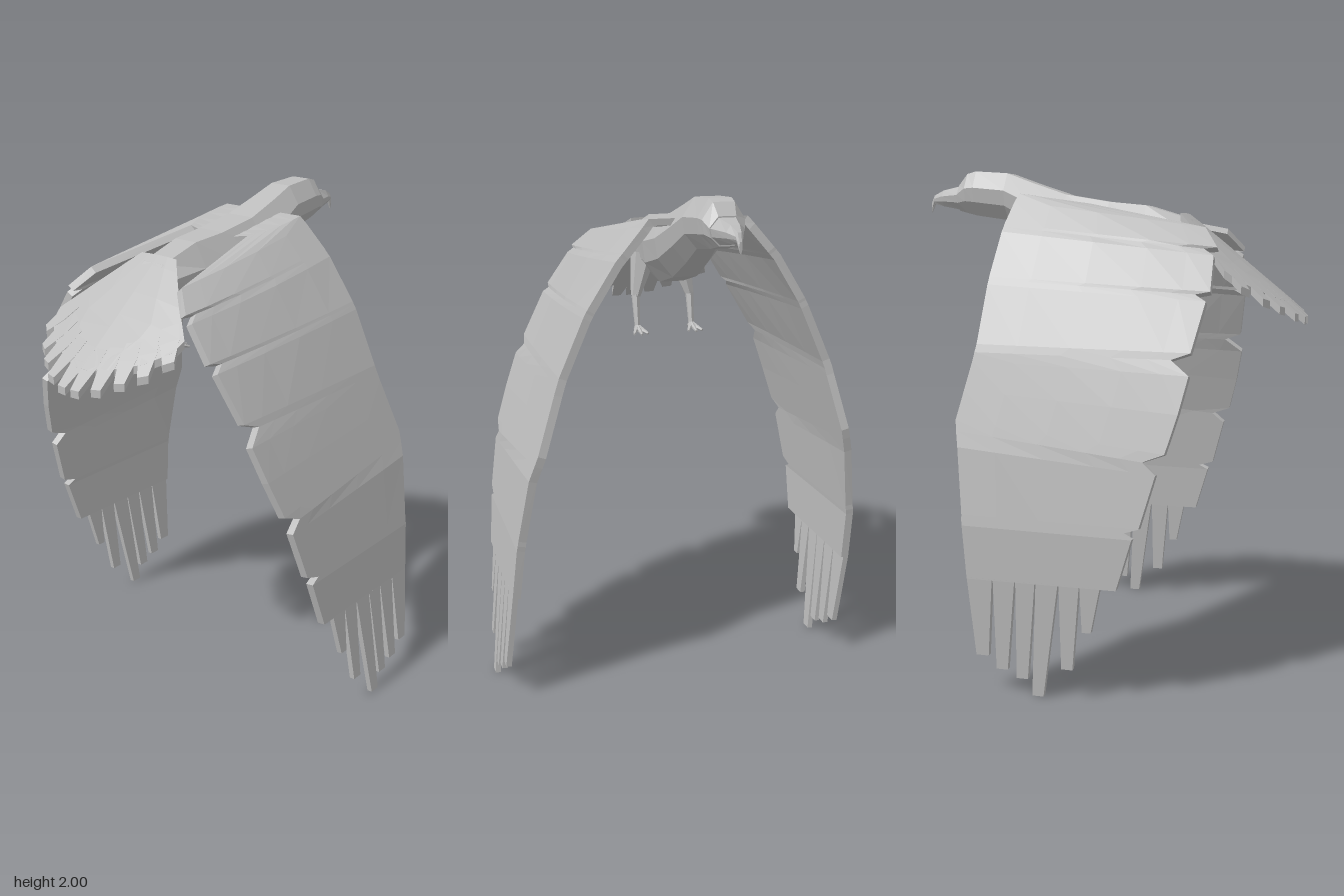
import * as THREE from 'three';

const CX = -0.07; // body axis
const plumage = new THREE.MeshStandardMaterial({ color: 0xbcbcbc, flatShading: true });
plumage.name = 'grey plumage';

// Closed solid through equal-length rings of points, capped at both ends
function loft(name, rings) {
  const n = rings[0].length;
  const tris = [];
  const quad = (a, b, c, d) => tris.push([a, b, c], [a, c, d]);
  for (let r = 0; r + 1 < rings.length; r++) {
    for (let i = 0; i < n; i++) {
      const j = (i + 1) % n;
      quad(rings[r][i], rings[r][j], rings[r + 1][j], rings[r + 1][i]);
    }
  }
  const cap = (ring, flip) => {
    for (let i = 0; i < n / 2 - 1; i++) {
      const q = [ring[i], ring[n - 1 - i], ring[n - 2 - i], ring[i + 1]];
      quad(...(flip ? q.reverse() : q));
    }
  };
  cap(rings[0], false);
  cap(rings[rings.length - 1], true);
  // Turn all faces outward, whichever way the rings run
  let volume = 0;
  for (const [a, b, c] of tris) volume += a.dot(b.clone().cross(c));
  const points = tris.flatMap(([a, b, c]) => (volume < 0 ? [a, c, b] : [a, b, c]));
  const geometry = new THREE.BufferGeometry().setFromPoints(points);
  geometry.computeVertexNormals();
  const mesh = new THREE.Mesh(geometry, plumage);
  mesh.name = name;
  return mesh;
}

const V = (x, y, z) => new THREE.Vector3(x, y, z);
const { lerp, clamp } = THREE.MathUtils;

// Wing arc seen from the front: height, x of the -x wing, x of the +x wing
const ARC = [
  [1.95, -0.17, 0.03], [1.9, -0.27, 0.12], [1.7, -0.44, 0.3], [1.46, -0.56, 0.435], [1.31, -0.62, 0.49],
  [0.94, -0.71, 0.62], [0.65, -0.745, 0.67], [0.45, -0.74, 0.69], [0, -0.7, 0.74],
];
function arcX(y, col) {
  let i = 0;
  while (i < ARC.length - 2 && y < ARC[i + 1][0]) i++;
  const a = ARC[i], b = ARC[i + 1];
  return lerp(a[col], b[col], (y - a[0]) / (b[0] - a[0]));
}

// Wing rows: leading edge z, y, trailing edge z, y, optional shift towards the body
const WING = [
  [-0.33, 1.9, -0.03, 1.83, 0.2], [-0.33, 1.9, -0.05, 1.86], [-0.34, 1.87, 0.43, 1.765],
  [-0.355, 1.78, 0.49, 1.69], [-0.355, 1.77, 0.44, 1.685], [-0.357, 1.75, 0.48, 1.66],
  [-0.37, 1.58, 0.485, 1.53], [-0.37, 1.57, 0.43, 1.52], [-0.372, 1.55, 0.473, 1.495],
  [-0.38, 1.33, 0.44, 1.315], [-0.385, 1.3, 0.37, 1.29], [-0.39, 1.27, 0.44, 1.235],
  [-0.415, 1.16, 0.41, 1.1], [-0.44, 1.05, 0.37, 0.96], [-0.435, 1.01, 0.29, 0.93],
  [-0.425, 0.95, 0.34, 0.885], [-0.4, 0.7, 0.285, 0.69], [-0.4, 0.68, 0.22, 0.67],
  [-0.398, 0.66, 0.26, 0.65], [-0.383, 0.455, 0.2, 0.455],
];
// Tip feathers: root z range, then tip z range and height
const FINGERS = [
  [0.14, 0.062, 0.1, 0.066, 0.28], [0.06, -0.018, 0.024, -0.02, 0.125], [-0.022, -0.108, -0.095, -0.14, 0.005],
  [-0.112, -0.188, -0.155, -0.2, 0.07], [-0.192, -0.278, -0.235, -0.28, 0.1], [-0.282, -0.383, -0.31, -0.36, 0.15],
];

function wingSheet(name, rows, side, columns, thick) {
  const col = side < 0 ? 1 : 2;
  const rings = rows.map(([lz, ly, tz, ty, inset = 0]) => {
    const upper = [], lower = [];
    for (const u of columns) {
      const y = lerp(ly, ty, u);
      const camber = 0.08 * clamp((y - 1.2) / 0.6, 0, 1) * u * u;
      const x = arcX(y, col) - side * (inset + camber);
      const slope = (arcX(y - 0.04, col) - arcX(y + 0.04, col)) / 0.08 * side;
      const len = Math.hypot(1, slope);
      const z = lerp(lz, tz, u);
      upper.push(V(x, y, z));
      lower.push(V(x - side * thick / len, y - thick * slope / len, z));
    }
    return [...upper, ...lower.reverse()];
  });
  return loft(name, rings);
}

function wing(side) {
  const group = new THREE.Group();
  group.name = side > 0 ? 'leftWing' : 'rightWing';
  group.add(wingSheet('wingPanel', WING, side, [0, 0.2, 0.45, 0.7, 0.88, 1], 0.032));
  for (const [a, b, c, d, tip] of FINGERS) {
    const rows = [0, 0.5, 1].map((t) => {
      const y = lerp(0.46, tip, t);
      return [lerp(b, d, t), y, lerp(a, c, t), y];
    });
    group.add(wingSheet('tipFeather', rows, side, [0, 1], 0.022));
  }
  return group;
}

// Body sections: z, half width, top, bottom
const BODY = [
  [0.44, 0.1, 1.7, 1.66], [0.33, 0.1, 1.8, 1.66], [0.15, 0.107, 1.855, 1.61], [0, 0.125, 1.87, 1.6],
  [-0.18, 0.125, 1.9, 1.65], [-0.33, 0.11, 1.95, 1.73], [-0.44, 0.095, 1.99, 1.8], [-0.58, 0.085, 2.0, 1.82],
  [-0.62, 0.08, 1.99, 1.83], [-0.66, 0.066, 1.945, 1.84],
];
const BEAK = [[-0.66, 0.062, 1.94, 1.845], [-0.74, 0.033, 1.925, 1.86], [-0.785, 0.014, 1.905, 1.87], [-0.8, 0.006, 1.875, 1.835]];
const SECTION = [[0.5, 1], [1, 0.62], [0.9, 0.3], [0.4, 0], [-0.4, 0], [-0.9, 0.3], [-1, 0.62], [-0.5, 1]];
const bodyRings = (list) => list.map(([z, w, top, bottom]) =>
  SECTION.map(([sx, sy]) => V(CX + sx * w, lerp(bottom, top, sy), z)));

// Sloping, slightly drooping tail surface
const tailPoint = (x, z, drop) => V(CX + x, 1.8 - 0.82 * (z - 0.33) - 0.35 * x * x - drop, z);
function tail() {
  const group = new THREE.Group();
  group.name = 'tail';
  const fan = [[0.3, 0.09], [0.34, 0.13], [0.44, 0.235], [0.52, 0.33], [0.57, 0.315], [0.64, 0.235], [0.7, 0.11], [0.72, 0.03]];
  const across = [-1, -0.5, 0, 0.5, 1];
  group.add(loft('tailFan', fan.map(([z, w]) => [
    ...across.map((s) => tailPoint(s * w, z, 0)),
    ...across.map((s) => tailPoint(-s * w, z, 0.03)),
  ])));
  // Fan feathers radiating from the rump
  for (const side of [-1, 1]) {
    for (const [x, z] of [[0.325, 0.6], [0.265, 0.67], [0.195, 0.72], [0.12, 0.765], [0.035, 0.79]]) {
      const dx = side * x, dz = z - 0.2, len = Math.hypot(dx, dz);
      const px = dz / len, pz = -dx / len;
      const ring = (t, w) => [[-w, 0], [w, 0], [w, 0.03], [-w, 0.03]].map(([o, drop]) =>
        tailPoint(dx * t + px * o, 0.2 + dz * t + pz * o, drop));
      group.add(loft('tailFeather', [ring(0.75, 0.03), ring(0.86, 0.036), ring(1, 0.021)]));
    }
  }
  return group;
}

// Tapered rod between two points
function rod(name, a, b, r0, r1) {
  const dir = b.clone().sub(a);
  const mesh = new THREE.Mesh(new THREE.CylinderGeometry(r1, r0, dir.length(), 6), plumage);
  mesh.position.copy(a).add(b).multiplyScalar(0.5);
  mesh.quaternion.setFromUnitVectors(V(0, 1, 0), dir.normalize());
  mesh.name = name;
  return mesh;
}

function leg(side) {
  const group = new THREE.Group();
  group.name = side > 0 ? 'leftLeg' : 'rightLeg';
  const x = CX + side * 0.118;
  const ankle = V(x, 1.395, 0.1);
  group.add(rod('thigh', V(CX + side * 0.075, 1.69, 0.16), V(x, 1.52, 0.13), 0.055, 0.02));
  group.add(rod('shank', V(x, 1.53, 0.13), ankle, 0.018, 0.012));
  for (const [dx, dz] of [[-0.03, -0.06], [0, -0.075], [0.03, -0.06], [0, 0.045]]) {
    group.add(rod('toe', ankle, V(x + dx, 1.378, 0.1 + dz), 0.013, 0.005));
  }
  return group;
}

export function createModel() {
  const model = new THREE.Group();
  model.name = 'flyingBird';
  model.add(loft('body', bodyRings(BODY)), loft('beak', bodyRings(BEAK)), tail());
  for (const side of [-1, 1]) model.add(wing(side), leg(side));
  return model;
}
